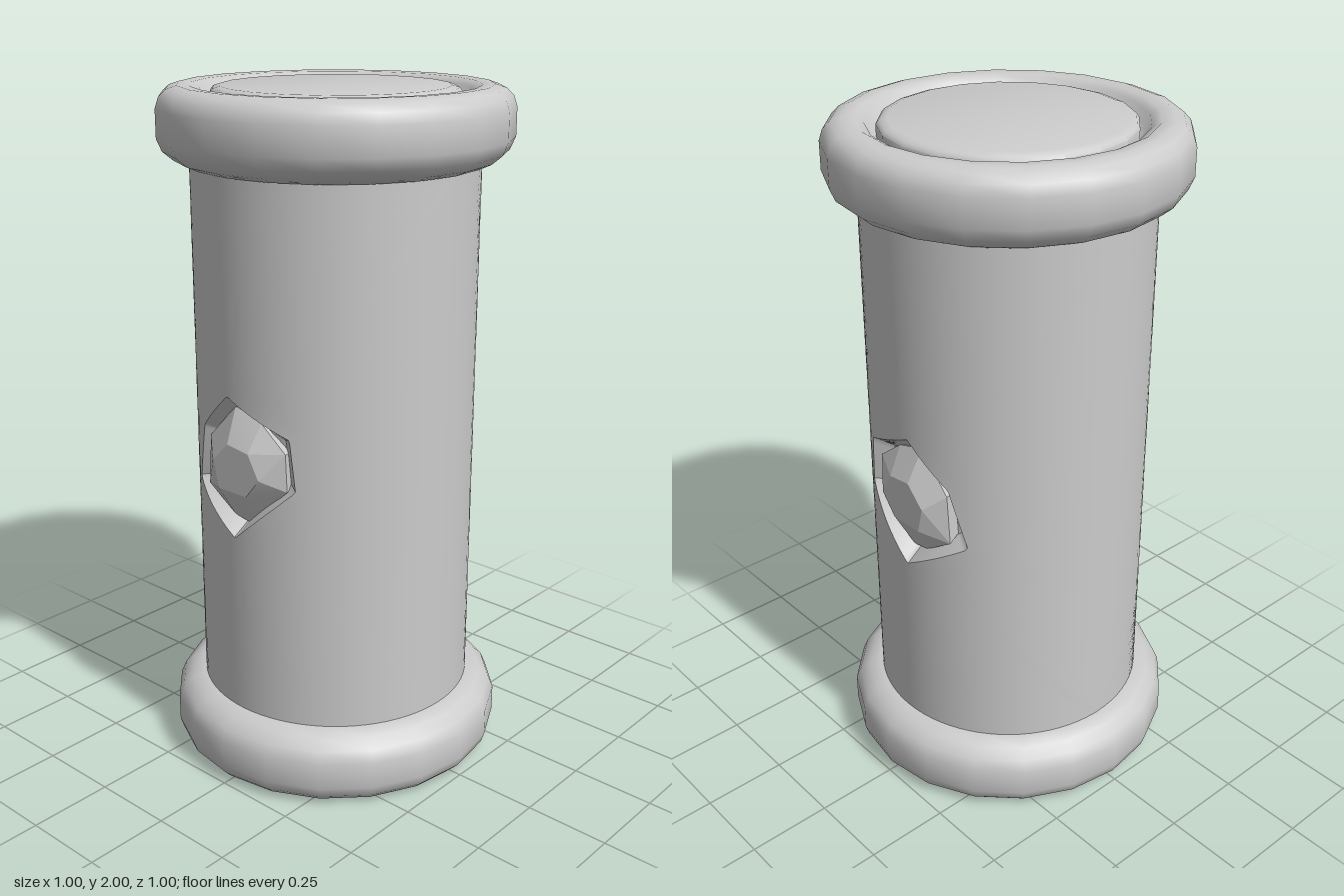
import * as THREE from 'three';
import { toCreasedNormals } from 'three/addons/utils/BufferGeometryUtils.js';
import { ConvexGeometry } from 'three/addons/geometries/ConvexGeometry.js';

const R = 0.41;                 // barrel radius
const CX = -0.02, CY = 0.97;    // middle of the pocket
const material = new THREE.MeshStandardMaterial({ color: 0xcccccc });

// pocket rim and gem corners in x, y, counter-clockwise
const rim = [[-0.04, 1.18], [-0.17, 1.06], [-0.22, 0.88], [-0.02, 0.76], [0.18, 0.94], [0.165, 1.09]];
const girdle = [[-0.05, 1.14], [-0.155, 1.03], [-0.165, 0.88], [-0.06, 0.81], [0, 0.8], [0.145, 0.93], [0.14, 1.04], [0.05, 1.11]];
const table = [[-0.04, 1.04], [-0.1, 0.98], [-0.08, 0.9], [0.03, 0.9], [0.08, 0.96], [0.04, 1.03]];

function mesh(name, geometry) {
  const m = new THREE.Mesh(geometry, material);
  m.name = name;
  return m;
}

// distance from the pocket middle to the rim along a direction (unwrapped surface)
const flatRim = rim.map(([x, y]) => [R * Math.asin(x / R) - CX, y - CY]);
function rimDistance(dx, dy) {
  let best = Infinity;
  flatRim.forEach(([ax, ay], i) => {
    const [bx, by] = flatRim[(i + 1) % flatRim.length];
    const ex = bx - ax, ey = by - ay;
    const det = dx * ey - dy * ex;
    const t = (ax * ey - ay * ex) / det;
    const u = (ax * dy - ay * dx) / det;
    if (t > 0 && u >= -1e-6 && u <= 1 + 1e-6) best = Math.min(best, t);
  });
  return best;
}

// half barrel: loops run from the pocket floor over its rim to the half's border
function halfBarrel(side) {
  const w = R * Math.PI / 2, y0 = 0.2, y1 = 1.8, n = 40, steps = 14;
  const corners = [[-w, y0], [w, y0], [w, y1], [-w, y1]];
  const border = [];
  corners.forEach(([ax, ay], k) => {
    const [bx, by] = corners[(k + 1) % 4];
    for (let i = 0; i < n; i++) border.push([ax + (bx - ax) * i / n, ay + (by - ay) * i / n]);
  });
  // [share of rim distance, depth] for the pocket, then [share of way to border]
  const pocket = [[0.01, 0.06], [0.45, 0.06], [0.82, 0.055], [1, 0]];
  const rows = pocket.length + steps;
  const pos = [], index = [];
  for (let r = 0; r < rows; r++) {
    for (const [bx, by] of border) {
      const dx = bx - CX, dy = by - CY;
      const t = rimDistance(dx, dy);
      const k = r - pocket.length + 1;
      const f = k <= 0 ? t * pocket[r][0] : t + (1 - t) * k / steps;
      const rad = R - (k <= 0 ? pocket[r][1] : 0);
      const a = (CX + dx * f) / R;
      pos.push(rad * Math.sin(a), CY + dy * f, side * rad * Math.cos(a));
    }
  }
  const N = border.length;
  for (let r = 0; r < rows - 1; r++) {
    for (let i = 0; i < N; i++) {
      const a = r * N + i, b = r * N + (i + 1) % N, c = a + N, d = b + N;
      if (side > 0) index.push(a, c, b, b, c, d);
      else index.push(a, b, c, b, d, c);
    }
  }
  const g = new THREE.BufferGeometry();
  g.setAttribute('position', new THREE.Float32BufferAttribute(pos, 3));
  g.setIndex(index);
  return toCreasedNormals(g, 0.5);
}

// faceted stone sitting in the pocket
function gem(side) {
  const pts = [];
  for (const [x, y] of table) pts.push(new THREE.Vector3(x, y, side * 0.412));
  for (const [x, y] of girdle) {
    pts.push(new THREE.Vector3(x, y, side * 0.365));
    pts.push(new THREE.Vector3(x * 0.85, CY + (y - CY) * 0.85, side * 0.3));
  }
  return toCreasedNormals(new ConvexGeometry(pts), 0.2);
}

// turned part; the lower one is the upper one mirrored about the middle height
function turned(profile, top) {
  const pts = profile.map(([r, y]) => new THREE.Vector2(r, top ? y : 2 - y));
  if (!top) pts.reverse();
  return toCreasedNormals(new THREE.LatheGeometry(pts, 20), 0.7);
}

const collar = [[0.36, 1.785], [0.42, 1.785], [0.455, 1.8], [0.485, 1.825], [0.5, 1.86], [0.5, 1.94],
  [0.49, 1.97], [0.47, 1.99], [0.44, 2], [0.405, 1.998], [0.38, 1.985], [0.365, 1.955], [0.345, 1.945]];
const cap = [[0.35, 1.94], [0.35, 1.98], [0.342, 1.99], [0.322, 1.996], [0, 1.996]];

export function createModel() {
  const group = new THREE.Group();
  group.name = 'barrelWithGems';
  for (const side of [1, -1]) {
    const label = side > 0 ? 'front' : 'back';
    group.add(mesh(label + 'Barrel', halfBarrel(side)), mesh(label + 'Gem', gem(side)));
  }
  for (const top of [true, false]) {
    const label = top ? 'top' : 'bottom';
    group.add(mesh(label + 'Collar', turned(collar, top)), mesh(label + 'Cap', turned(cap, top)));
  }
  return group;
}
